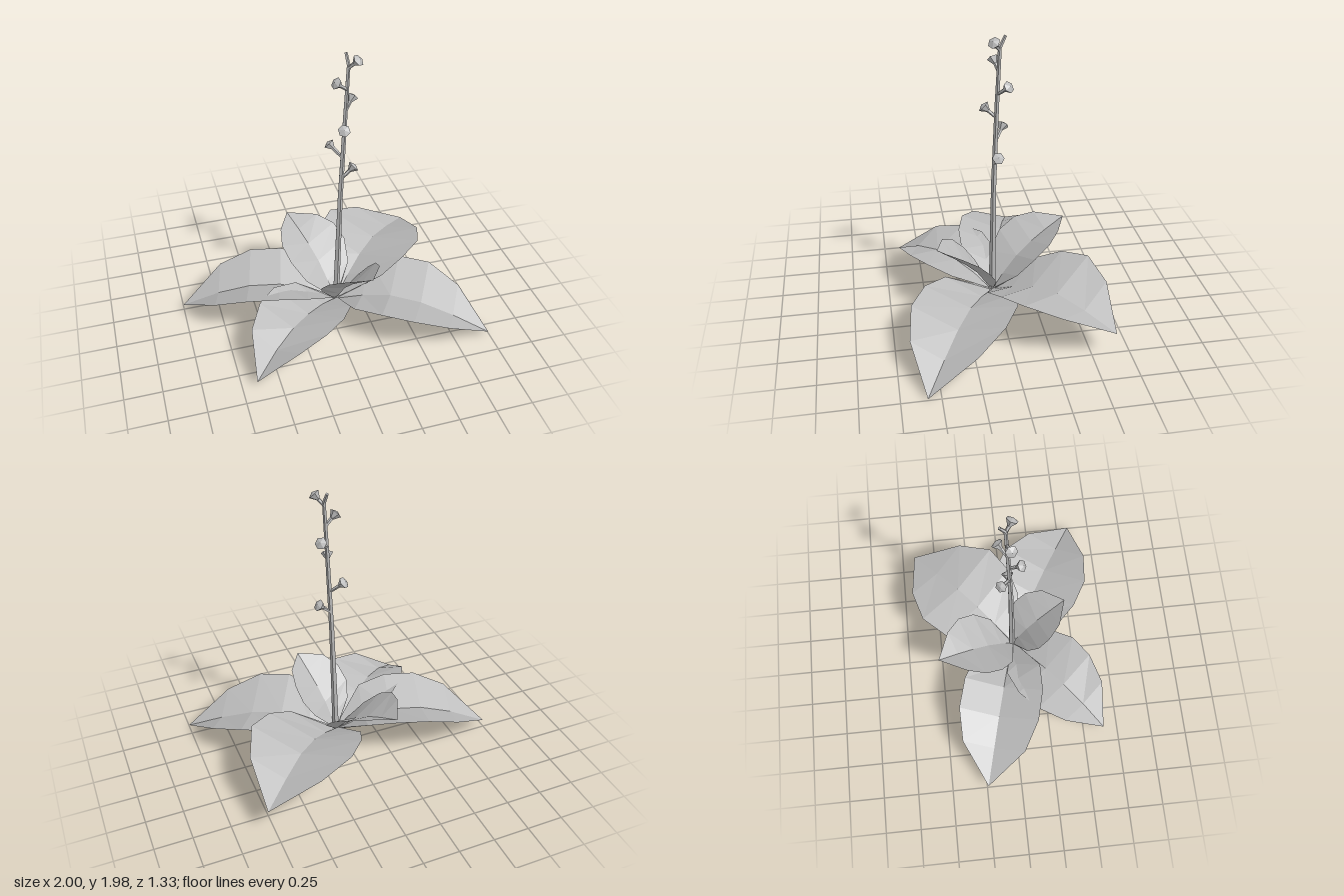
import * as THREE from 'three';

const V = (x, y, z) => new THREE.Vector3(x, y, z);
const BASE = V(0.05, 0.1, 0.04);

// Folded leaf: stations along the midrib, each [distance, midrib height, edge height, half width].
function leafGeometry(tip, stations) {
  const dx = tip.x - BASE.x, dz = tip.z - BASE.z, len = Math.hypot(dx, dz);
  const ux = dx / len, uz = dz / len;
  const rows = [[0, 0.09, 0.11, 0.015], ...stations, [len, tip.y, tip.y, 0]];
  const pos = [], index = [];
  for (const [d, mid, edge, w] of rows) {
    for (const s of [-1, 0, 1]) {
      pos.push(BASE.x + ux * d + uz * w * s, s ? edge : mid, BASE.z + uz * d - ux * w * s);
    }
  }
  for (let r = 0; r < rows.length - 1; r++) {
    for (let s = 0; s < 2; s++) {
      const a = r * 3 + s, b = a + 1, c = a + 3, e = a + 4;
      index.push(a, b, c);
      if (r < rows.length - 2) index.push(b, e, c);
    }
  }
  const g = new THREE.BufferGeometry();
  g.setAttribute('position', new THREE.Float32BufferAttribute(pos, 3));
  g.setIndex(index);
  const flat = g.toNonIndexed();
  flat.computeVertexNormals();
  return flat;
}

export function createModel() {
  const model = new THREE.Group();
  model.name = 'floweringPlant';
  const grey = new THREE.MeshStandardMaterial({ color: 0xbbbbbb, side: THREE.DoubleSide, flatShading: true });
  grey.name = 'plantGrey';

  const add = (geometry, name, parent = model) => {
    const mesh = new THREE.Mesh(geometry, grey);
    mesh.name = name;
    parent.add(mesh);
    return mesh;
  };

  // Tapered rod between two points
  const rod = (a, b, r0, r1, name, parent) => {
    const dir = b.clone().sub(a);
    const mesh = add(new THREE.CylinderGeometry(r1, r0, dir.length(), 5), name, parent);
    mesh.position.copy(a).add(b).multiplyScalar(0.5);
    mesh.quaternion.setFromUnitVectors(V(0, 1, 0), dir.normalize());
    return mesh;
  };

  // Four spreading leaves and two upright ones
  const leaves = [
    ['rightLeaf', V(-1, 0.05, -0.24),
      [[0.195, 0.18, 0.29, 0.235], [0.39, 0.23, 0.33, 0.284], [0.61, 0.22, 0.32, 0.287], [0.83, 0.16, 0.24, 0.226]]],
    ['backLeftLeaf', V(0.79, 0.18, -0.645),
      [[0.177, 0.19, 0.29, 0.27], [0.345, 0.26, 0.37, 0.345], [0.545, 0.29, 0.4, 0.368], [0.762, 0.25, 0.335, 0.26]]],
    ['frontLeftLeaf', V(1, 0.01, 0.585),
      [[0.195, 0.16, 0.26, 0.265], [0.395, 0.2, 0.3, 0.327], [0.613, 0.18, 0.285, 0.327], [0.842, 0.11, 0.195, 0.232]]],
    ['frontRightLeaf', V(-0.655, 0.06, 0.645),
      [[0.165, 0.16, 0.25, 0.23], [0.34, 0.2, 0.3, 0.288], [0.518, 0.21, 0.295, 0.275], [0.715, 0.165, 0.245, 0.198]]],
    ['uprightBackLeaf', V(-0.16, 0.515, -0.505),
      [[0.09, 0.2, 0.28, 0.185], [0.2, 0.31, 0.4, 0.235], [0.32, 0.39, 0.475, 0.228], [0.437, 0.45, 0.515, 0.158]]],
    ['uprightFrontLeaf', V(0.19, 0.54, 0.43),
      [[0.05, 0.17, 0.265, 0.155], [0.115, 0.27, 0.365, 0.202], [0.2, 0.36, 0.455, 0.197], [0.304, 0.45, 0.517, 0.146]]],
  ];
  for (const [name, tip, stations] of leaves) add(leafGeometry(tip, stations), name);

  // Leaning stem
  const nodes = [V(0.05, 0, 0.04), V(0.08, 0.95, 0.03), V(0.11, 1.5, 0.015), V(0.135, 1.9, 0)];
  const radii = [0.025, 0.018, 0.015, 0.012];
  const stem = new THREE.Group();
  stem.name = 'stem';
  model.add(stem);
  for (let i = 0; i < 3; i++) rod(nodes[i], nodes[i + 1], radii[i], radii[i + 1], 'stemSection', stem);
  rod(nodes[3], V(0.128, 1.97, -0.035), 0.012, 0.01, 'stemTip', stem);

  // Point on the stem at a given height
  const onStem = (y) => {
    const i = Math.max(0, nodes.findIndex((n) => n.y >= y) - 1);
    return nodes[i].clone().lerp(nodes[i + 1], (y - nodes[i].y) / (nodes[i + 1].y - nodes[i].y));
  };

  // Flowers: a short stalk and a flared bell with a low domed face
  const flowers = [
    [1.1, V(0.185, 1.185, 0.015)], [1.26, V(0.015, 1.35, -0.045)], [1.43, V(0.08, 1.51, 0.105)],
    [1.59, V(0.185, 1.665, -0.055)], [1.74, V(0.04, 1.81, 0.03)], [1.88, V(0.19, 1.955, 0.05)],
  ];
  const bell = new THREE.LatheGeometry([
    new THREE.Vector2(0.011, -0.055), new THREE.Vector2(0.04, -0.012), new THREE.Vector2(0, 0.004),
  ], 6);
  for (const [y, end] of flowers) {
    const flower = new THREE.Group();
    flower.name = 'flower';
    model.add(flower);
    const start = onStem(y);
    const dir = end.clone().sub(start).normalize();
    rod(start, end.clone().addScaledVector(dir, -0.05), 0.011, 0.013, 'flowerStalk', flower);
    const cup = add(bell, 'flowerBell', flower);
    cup.position.copy(end);
    cup.quaternion.setFromUnitVectors(V(0, 1, 0), dir);
  }
  return model;
}
